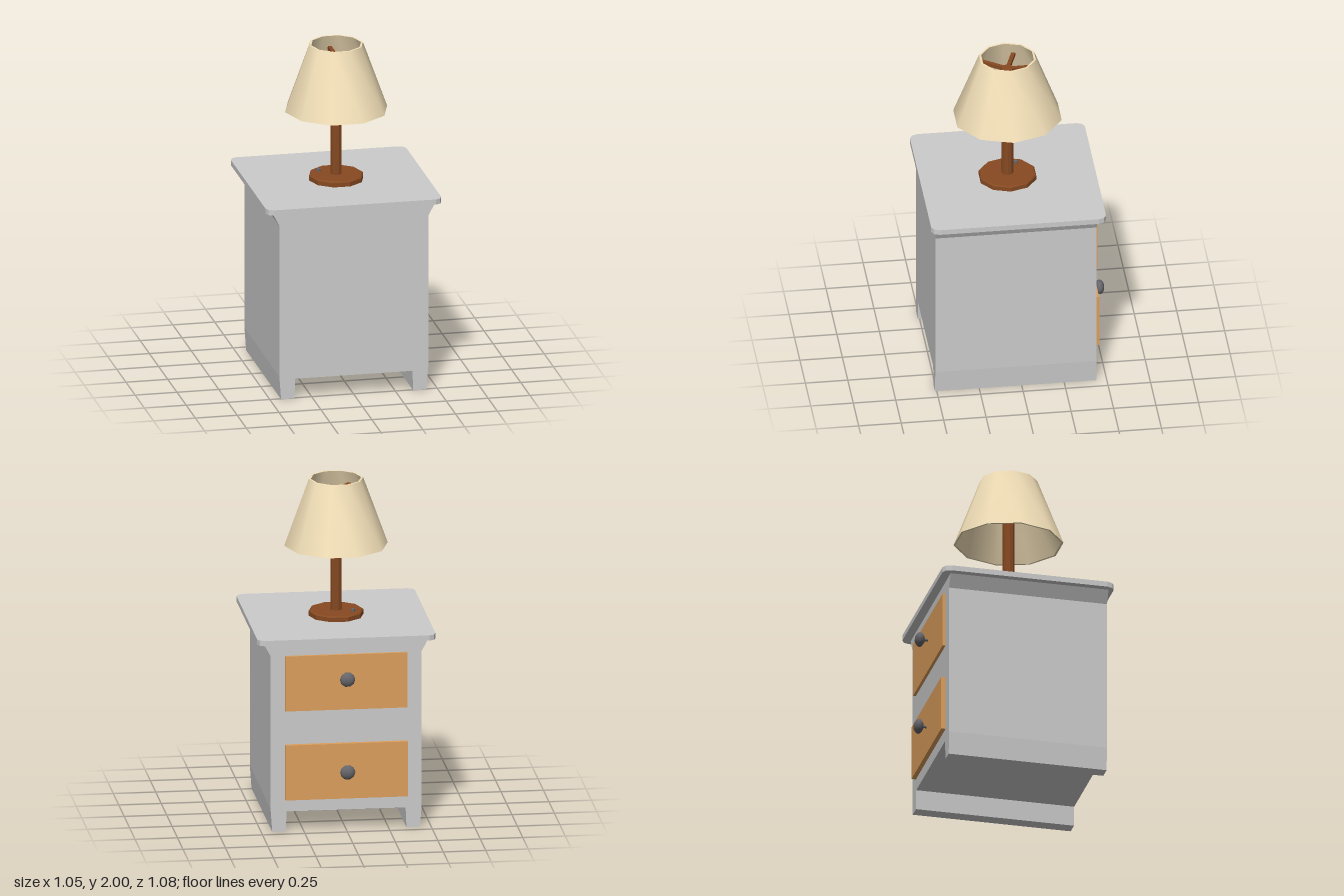
import * as THREE from 'three';
import { toCreasedNormals } from 'three/addons/utils/BufferGeometryUtils.js';

const material = (color, side = THREE.FrontSide) => new THREE.MeshStandardMaterial({ color, side });
const points = (list) => list.map(([x, y]) => new THREE.Vector2(x, y));

function addMesh(parent, name, geometry, mat, x = 0, y = 0, z = 0) {
  const mesh = new THREE.Mesh(geometry, mat);
  mesh.name = name;
  mesh.position.set(x, y, z);
  parent.add(mesh);
  return mesh;
}

// Ten-sided turned part with a corner on the x axis
function turned(profile, crease) {
  const lathe = new THREE.LatheGeometry(points(profile), 10, Math.PI / 2);
  return toCreasedNormals(lathe, crease);
}

export function createModel() {
  const model = new THREE.Group();
  const paint = material(0xcccccc);
  const drawerWood = material(0xdd9f5c);
  const lampWood = material(0x874a22);
  const metal = material(0x66666b);
  const fabric = material(0xf3e0b8, THREE.DoubleSide);

  // Cabinet: mirrored front outline with feet and a flared top, extruded in depth
  const half = [[0.35, 0.12], [0.355, 0], [0.435, 0], [0.445, 0.14], [0.445, 1.065], [0.485, 1.14]];
  const outline = [...half, ...half.map(([x, y]) => [-x, y]).reverse()];
  addMesh(model, 'cabinet', new THREE.ExtrudeGeometry(new THREE.Shape(points(outline)),
    { depth: 0.95, bevelEnabled: false }), paint, 0, 0, -0.44);

  // Table top with clipped corners
  const corner = [[0.525, 0.468], [0.513, 0.5], [0.485, 0.515]];
  const flip = (sx, sy) => corner.map(([x, y]) => [x * sx, y * sy]);
  const topShape = new THREE.Shape(points([
    ...flip(1, 1), ...flip(-1, 1).reverse(), ...flip(-1, -1), ...flip(1, -1).reverse(),
  ]));
  const top = addMesh(model, 'tableTop',
    new THREE.ExtrudeGeometry(topShape, { depth: 0.032, bevelEnabled: false }), paint, 0, 1.172, 0.025);
  top.rotation.x = Math.PI / 2;

  // Two drawers on the -z side, each with a faceted knob on a thin stem
  const knobProfile = [[0, -0.026], [0.022, -0.025], [0.04, -0.013], [0.045, 0], [0.04, 0.013], [0.022, 0.025], [0, 0.026]];
  const drawers = [
    { name: 'upperDrawer', y: 0.897, front: -0.457, knobY: 0.925, knobZ: -0.506 },
    { name: 'lowerDrawer', y: 0.36, front: -0.466, knobY: 0.365, knobZ: -0.513 },
  ];
  for (const d of drawers) {
    const drawer = new THREE.Group();
    drawer.name = d.name;
    model.add(drawer);
    const depth = -0.43 - d.front;
    addMesh(drawer, 'drawerFront', new THREE.BoxGeometry(0.72, 0.333, depth), drawerWood, 0, d.y, d.front + depth / 2);
    addMesh(drawer, 'knobStem', new THREE.CylinderGeometry(0.008, 0.008, 0.06, 8), metal, 0, d.knobY, d.front - 0.02)
      .rotation.x = Math.PI / 2;
    addMesh(drawer, 'knob', turned(knobProfile, 0.75), metal, 0, d.knobY, d.knobZ)
      .rotation.x = -Math.PI / 2;
  }

  // Lamp, slightly longer in depth than in width
  const lamp = new THREE.Group();
  lamp.name = 'lamp';
  lamp.position.z = 0.028;
  lamp.scale.z = 1.06;
  model.add(lamp);

  addMesh(lamp, 'lampBase',
    turned([[0, 1.17], [0.162, 1.17], [0.162, 1.198], [0.155, 1.205], [0, 1.205]], 0.5), lampWood);
  addMesh(lamp, 'lampPole', turned([[0, 1.2], [0.033, 1.2], [0.033, 1.93], [0, 1.93]], 0.5), lampWood);
  addMesh(lamp, 'lampShade',
    turned([[0.293, 1.6], [0.305, 1.6], [0.16, 2], [0.148, 2], [0.293, 1.6]], 0.7), fabric);

  // Five spokes carrying the shade
  for (let i = 0; i < 5; i++) {
    const spoke = new THREE.BoxGeometry(0.022, 0.022, 0.155).translate(0, 0, -0.0925);
    addMesh(lamp, 'shadeSpoke', spoke, lampWood, 0, 1.919, 0).rotation.y = (i * 2 * Math.PI) / 5;
  }

  // Push switch on the base
  addMesh(lamp, 'lampSwitch', new THREE.CylinderGeometry(0.012, 0.012, 0.025, 10), metal, -0.092, 1.208, -0.056);

  return model;
}
